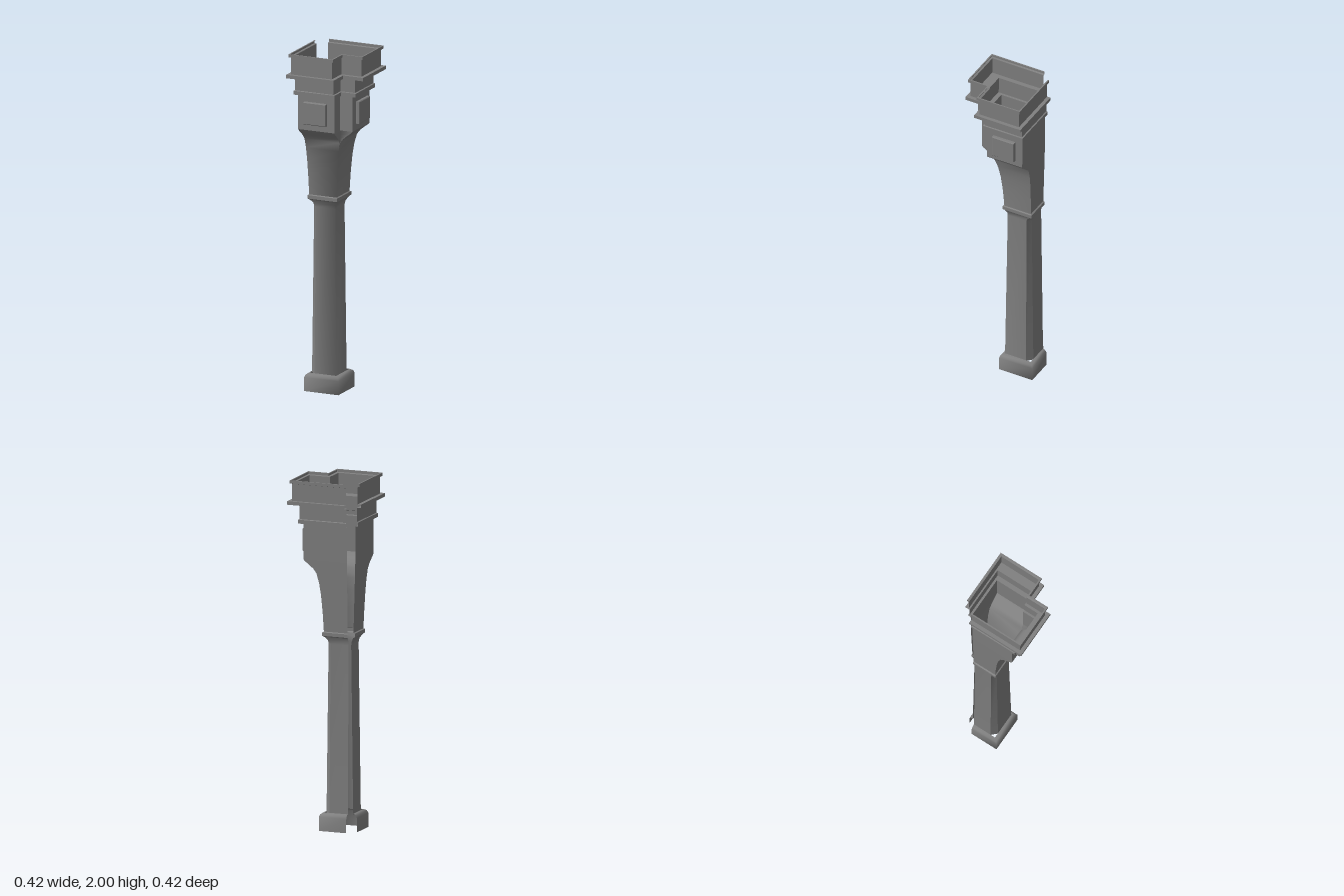
import * as THREE from 'three';
import { toCreasedNormals } from 'three/addons/utils/BufferGeometryUtils.js';

const material = new THREE.MeshStandardMaterial({ color: 0x808080, side: THREE.DoubleSide });
const CUT = -0.14; // where the two back walls stop, leaving an open corner

// Open L-shaped outline, symmetric about x = z.
// e: outer reach of both arms, n: inner notch, b: back walls, c: corner chamfer
function outline([y, e, n, b, c = 0]) {
  return [
    [CUT, b], [e - c, b], [e, b + c], [e, n], [n, n],
    [n, e], [b + c, e], [b, e - c], [b, CUT],
  ].map(([x, z]) => new THREE.Vector3(x, y, z));
}

// Skin a stack of outlines, dropping collapsed triangles
function loft(name, sections, crease = 0.6) {
  const rings = sections.map(outline);
  const positions = [];
  const addTriangle = (p, q, r) => {
    if (new THREE.Triangle(p, q, r).getArea() < 1e-8) return;
    for (const v of [p, q, r]) positions.push(v.x, v.y, v.z);
  };
  for (let j = 0; j < rings.length - 1; j++) {
    const low = rings[j], high = rings[j + 1];
    for (let i = 0; i < low.length - 1; i++) {
      addTriangle(low[i], high[i], low[i + 1]);
      addTriangle(low[i + 1], high[i], high[i + 1]);
    }
  }
  const geometry = new THREE.BufferGeometry();
  geometry.setAttribute('position', new THREE.Float32BufferAttribute(positions, 3));
  const mesh = new THREE.Mesh(toCreasedNormals(geometry, crease), material);
  mesh.name = name;
  return mesh;
}

// Shade the front corner on the plane x = z as one soft edge
function softenFrontCorner(mesh) {
  const { position, normal } = mesh.geometry.attributes;
  const v = new THREE.Vector3();
  for (let i = 0; i < position.count; i++) {
    if (Math.abs(position.getX(i) - position.getZ(i)) > 1e-6) continue;
    v.fromBufferAttribute(normal, i);
    const across = (v.x + v.z) / 2;
    v.set(across, v.y, across).normalize();
    normal.setXYZ(i, v.x, v.y, v.z);
  }
  return mesh;
}

// Square section: the notch collapses into the corner
const square = (y, e, b, c = 0) => [y, e, e, b, c];

// Raised plate with slightly bevelled rim, facing +z
function panel(name) {
  const w = 0.066, h = 0.061, bevel = 0.004;
  const shape = new THREE.Shape([
    new THREE.Vector2(-w, -h), new THREE.Vector2(w, -h),
    new THREE.Vector2(w, h), new THREE.Vector2(-w, h),
  ]);
  const geometry = new THREE.ExtrudeGeometry(shape, {
    depth: 0.016, bevelSize: bevel, bevelThickness: bevel, bevelSegments: 1,
  });
  const mesh = new THREE.Mesh(geometry, material);
  mesh.name = name;
  return mesh;
}

export function createModel() {
  const group = new THREE.Group();
  group.name = 'cornerColumn';

  // Plinth with softened edges, open below
  group.add(loft('base', [
    square(0, 0.027, -0.186), square(0.08, 0.027, -0.186),
    square(0.095, 0.021, -0.18), square(0.104, 0.009, -0.168), square(0.104, 0.002, -0.163),
  ], 1.7));

  // Tapered shaft with two chamfered corners and a spreading neck
  group.add(softenFrontCorner(loft('shaft', [
    square(0.1, 0.002, -0.163, 0.03), square(1.07, -0.009, -0.151, 0.022),
    square(1.09, -0.007, -0.153, 0.016), square(1.112, 0.004, -0.163),
  ])));

  // Collar moulding
  group.add(loft('collar', [
    square(1.112, 0.004, -0.163), square(1.118, 0.012, -0.173),
    square(1.138, 0.012, -0.173), square(1.142, 0.005, -0.165),
  ]));

  // Bracket curving out from the square shaft into two arms
  const curve = [
    [1.142, 0.005], [1.25, 0.011], [1.35, 0.02], [1.42, 0.031],
    [1.475, 0.047], [1.5, 0.066], [1.52, 0.09], [1.54, 0.117], [1.55, 0.125],
  ];
  group.add(softenFrontCorner(loft('bracket', curve.map(([y, e]) =>
    [y, e, Math.min(e, 0.04 + 0.08 * e), THREE.MathUtils.mapLinear(y, 1.142, 1.55, -0.165, -0.176)]), 0.7)));

  // Capital block, mouldings and open parapet
  group.add(loft('capital', [
    [1.55, 0.125, 0.05, -0.176], [1.755, 0.125, 0.05, -0.177],
    [1.755, 0.152, 0.062, -0.192], [1.777, 0.152, 0.062, -0.192],
    [1.78, 0.145, 0.055, -0.185], [1.862, 0.145, 0.055, -0.185],
    [1.862, 0.21, 0.085, -0.211], [1.882, 0.21, 0.085, -0.211],
    [1.882, 0.189, 0.064, -0.19], [1.98, 0.189, 0.064, -0.19],
    [1.983, 0.2, 0.076, -0.201], [2, 0.2, 0.076, -0.201], [2, 0.192, 0.067, -0.193],
  ]));

  // Raised panels on the ends of both arms
  const front = panel('frontPanel');
  front.position.set(-0.064, 1.652, 0.129);
  const side = panel('leftPanel');
  side.position.set(0.129, 1.652, -0.064);
  side.rotation.y = Math.PI / 2;
  group.add(front, side);

  return group;
}
